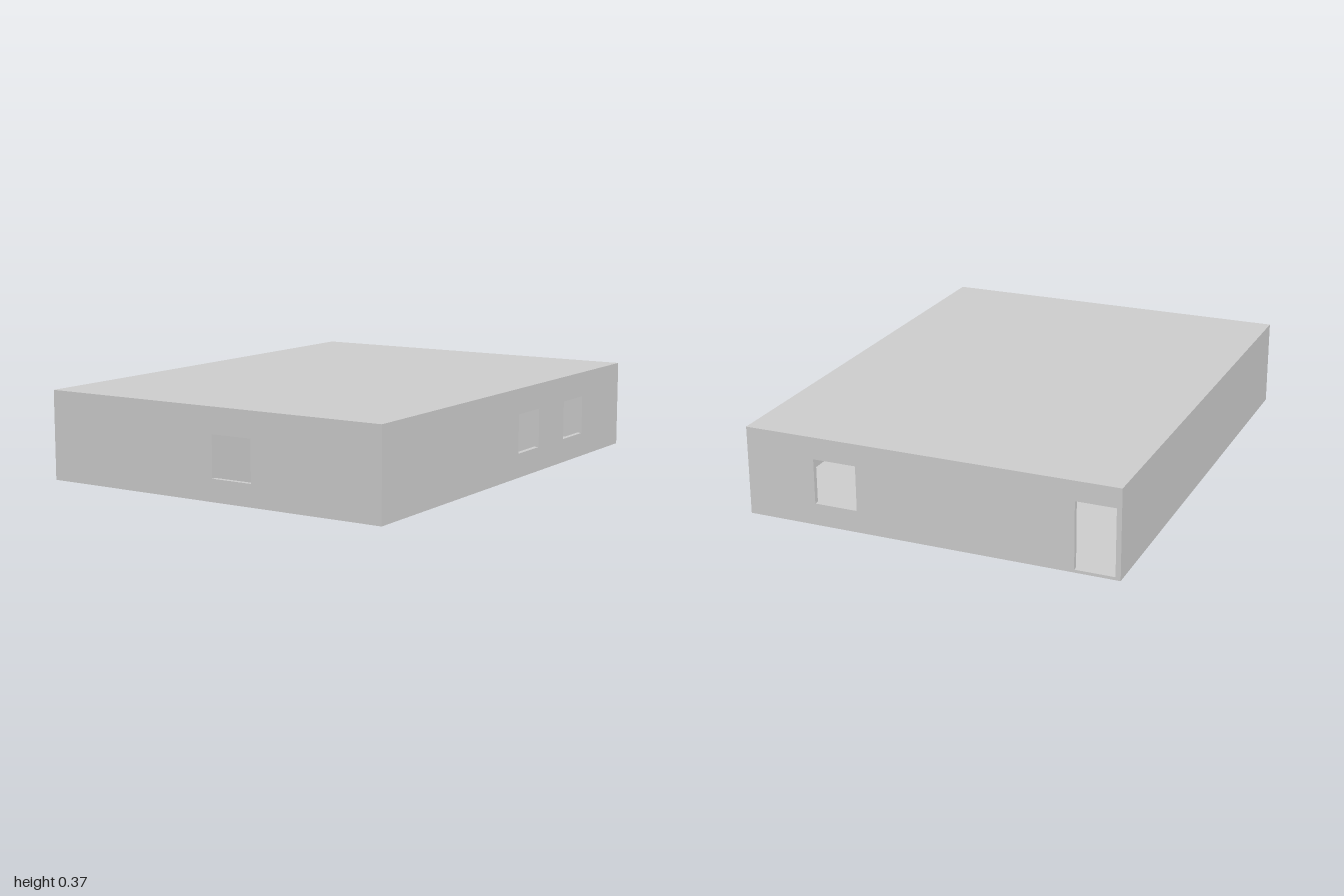
import * as THREE from 'three';

const W = 1.54, D = 2, H = 0.365; // overall size
const T = 0.02;                   // wall thickness
const S = 0.01;                   // floor and roof thickness

const material = new THREE.MeshStandardMaterial({ color: 0xcccccc, flatShading: true });

// Upright wall from u0 to u1 along its length, with rectangular openings [u0, u1, y0, y1]
function wallGeometry(u0, u1, openings = []) {
  const rect = (target, a, b, c, d) =>
    target.moveTo(a, c).lineTo(b, c).lineTo(b, d).lineTo(a, d).closePath();
  const shape = rect(new THREE.Shape(), u0, u1, S, H - S);
  for (const [a, b, c, d] of openings) shape.holes.push(rect(new THREE.Path(), a, b, c, d));
  return new THREE.ExtrudeGeometry(shape, { depth: T, bevelEnabled: false });
}

export function createModel() {
  const house = new THREE.Group();
  house.name = 'house';

  const add = (name, geometry) => {
    const mesh = new THREE.Mesh(geometry, material);
    mesh.name = name;
    house.add(mesh);
  };

  // Wall running along x, filling z to z + T
  const wallX = (name, z, x0, x1, openings) =>
    add(name, wallGeometry(x0, x1, openings).translate(0, 0, z));

  // Wall running along z, filling x to x + T; openings are given in z
  const wallZ = (name, x, z0, z1, openings = []) => {
    const flipped = openings.map(([a, b, c, d]) => [-b, -a, c, d]);
    add(name, wallGeometry(-z1, -z0, flipped).rotateY(Math.PI / 2).translate(x, 0, 0));
  };

  // Floor and flat roof
  add('floor', new THREE.BoxGeometry(W, S, D).translate(0, S / 2, 0));
  add('roof', new THREE.BoxGeometry(W, S, D).translate(0, H - S / 2, 0));

  // Outer walls with windows and the back door
  wallX('frontWall', D / 2 - T, -W / 2, W / 2, [[0.02, 0.2, 0.09, 0.26]]);
  wallX('backWall', -D / 2, -W / 2, W / 2, [
    [0.3, 0.48, 0.09, 0.275],
    [-0.75, -0.59, 0.012, 0.285],
  ]);
  wallZ('windowedSideWall', W / 2 - T, -D / 2 + T, D / 2 - T, [
    [-0.22, -0.04, 0.1, 0.26],
    [-0.63, -0.45, 0.1, 0.26],
  ]);
  wallZ('plainSideWall', -W / 2, -D / 2 + T, D / 2 - T);

  // Inner partitions, the long one with a doorway
  wallZ('longPartition', -0.06, -D / 2 + T, D / 2 - T, [[-0.22, -0.06, 0.012, 0.285]]);
  wallX('crossPartition', -0.25, -0.04, W / 2 - T);

  return house;
}
